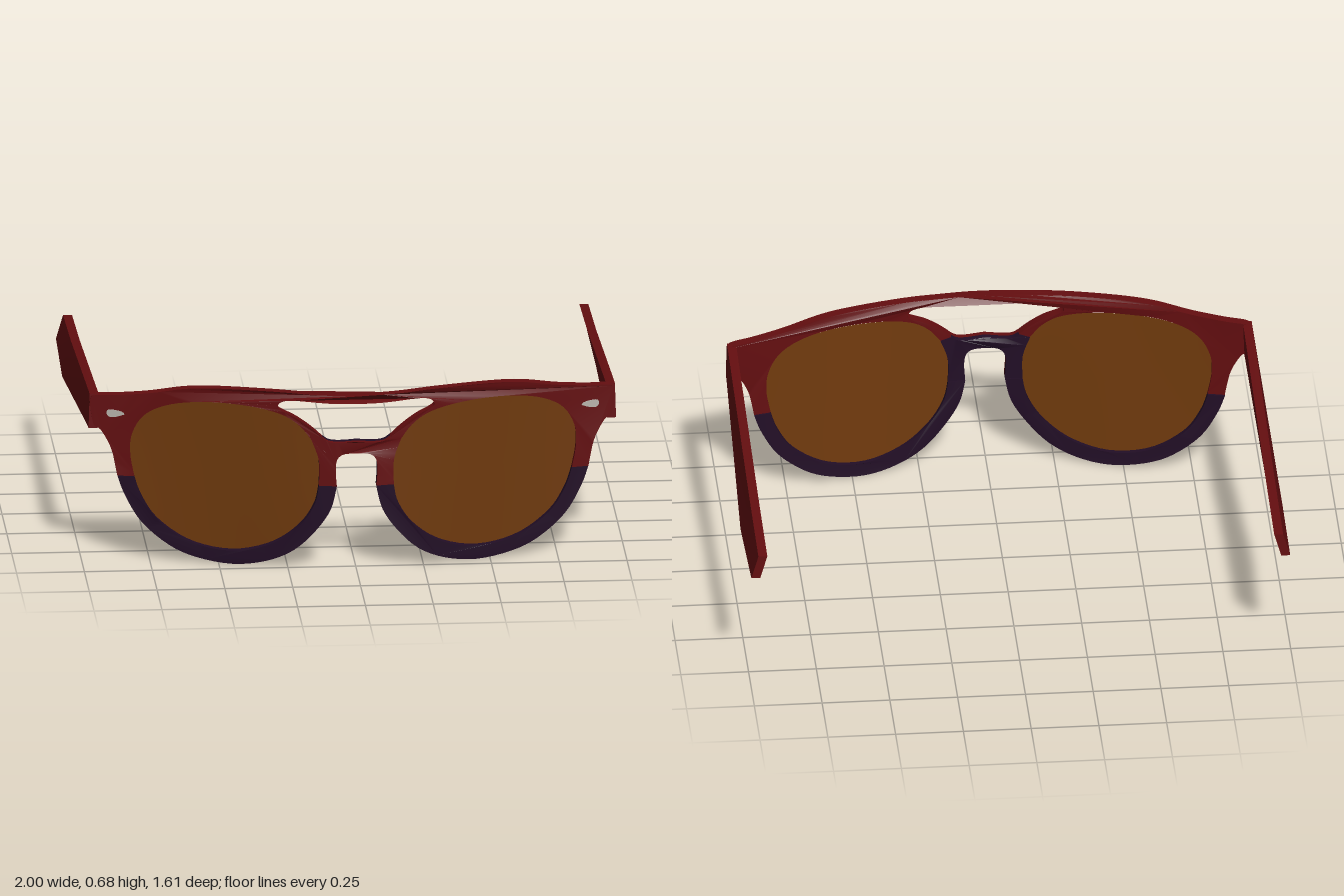
import * as THREE from 'three';
import { toCreasedNormals } from 'three/addons/utils/BufferGeometryUtils.js';

const mat = (name, color, side = THREE.FrontSide) => {
  const m = new THREE.MeshStandardMaterial({ color, side });
  m.name = name;
  return m;
};

// Smooth run of points through a few control points
const run = (n, ...p) => new THREE.SplineCurve(p.map(([x, y]) => new THREE.Vector2(x, y))).getPoints(n);

// Join runs, dropping repeated points
const join = (...runs) => runs.flat().filter((p, i, a) => i === 0 || p.distanceTo(a[i - 1]) > 1e-4);

// Close a half outline (centre line to centre line) with its mirror image
const mirrored = (half) => half.concat(half.slice(1, -1).reverse().map((p) => new THREE.Vector2(-p.x, p.y)));

// Wrap of the front: swept back at the sides, and slightly back at the bottom
const wrap = (x, y) => {
  const ax = Math.abs(x);
  const tilt = 0.05 * (0.66 - y) * Math.sin(Math.PI * Math.min(ax / 0.95, 1));
  return 0.865 - Math.hypot(0.06, 0.29 * ax) - tilt;
};

// Plate between two depths behind the wrapped front surface
function wrappedPlate(points, from, to, hole) {
  const shape = new THREE.Shape(points);
  if (hole) shape.holes.push(new THREE.Path(hole));
  const geo = new THREE.ExtrudeGeometry(shape, { depth: from - to, bevelEnabled: false, steps: 1 });
  const p = geo.attributes.position;
  for (let i = 0; i < p.count; i++) p.setZ(i, wrap(p.getX(i), p.getY(i)) + to + p.getZ(i));
  return toCreasedNormals(geo, 0.6);
}

// Thin curved lens made of rings around its centre
function lensGeometry(contour, side) {
  const rings = 8, n = contour.length, pos = [], idx = [];
  const cx = 0.475, cy = 0.34;
  for (let r = 0; r <= rings; r++) {
    for (const p of contour) {
      const k = r / rings;
      const x = cx + (p.x - cx) * k;
      let y = cy + (p.y - cy) * k;
      if (y > 0.5) y -= (y - 0.5) * 0.05;
      pos.push(side * x, y, wrap(x, y) - 0.028);
    }
  }
  for (let r = 0; r < rings; r++) {
    for (let i = 0; i < n; i++) {
      const a = r * n + i, b = r * n + (i + 1) % n;
      idx.push(a, a + n, b, b, a + n, b + n);
    }
  }
  const geo = new THREE.BufferGeometry();
  geo.setAttribute('position', new THREE.Float32BufferAttribute(pos, 3));
  geo.setIndex(idx);
  geo.computeVertexNormals();
  return geo;
}

// Temple arm: stations of z, top, bottom and outward lean of the lower edge
const stations = [
  [0.572, 0.63, 0.5, 0.004], [0.52, 0.628, 0.497, 0.005],
  [-0.4, 0.543, 0.406, 0.032], [-0.8, 0.52, 0.43, 0.026],
];
function templeGeometry(side) {
  const geo = new THREE.BoxGeometry(1, 1, 1, 1, 1, 3);
  const p = geo.attributes.position;
  for (let i = 0; i < p.count; i++) {
    const [z, top, bottom, lean] = stations[Math.round((0.5 - p.getZ(i)) * 3)];
    const low = p.getY(i) < 0;
    const outer = p.getX(i) * side > 0;
    p.setXYZ(i, side * ((outer ? 0.968 : 0.935) + (low ? lean : 0)), low ? bottom : top, z);
  }
  return toCreasedNormals(geo, 0.4);
}

export function createModel() {
  const red = mat('dark red', 0x640e10);
  const purple = mat('dark purple', 0x220e26);
  const amber = mat('amber lens', 0x703a0c, THREE.DoubleSide);
  const metal = mat('pale metal', 0xbab6ae);

  const group = new THREE.Group();
  group.name = 'sunglasses';
  const add = (name, geo, material) => {
    const mesh = new THREE.Mesh(geo, material);
    mesh.name = name;
    group.add(mesh);
  };

  // Edges of the +x half of the front
  const top = run(40, [0, 0.672], [0.15, 0.675], [0.3, 0.682], [0.5, 0.683], [0.62, 0.675],
    [0.75, 0.65], [0.87, 0.635], [0.94, 0.631], [0.963, 0.622], [0.968, 0.6]);
  const outer = run(20, [0.968, 0.6], [0.955, 0.52], [0.93, 0.5], [0.905, 0.46], [0.885, 0.41], [0.868, 0.325]);
  const lensTop = run(40, [0.806, 0.325], [0.821, 0.41], [0.815, 0.49], [0.77, 0.565], [0.68, 0.61],
    [0.55, 0.628], [0.4, 0.622], [0.28, 0.597], [0.21, 0.555], [0.165, 0.5]);
  const lensInner = run(8, [0.165, 0.5], [0.138, 0.42], [0.138, 0.325]);
  const lensLow = run(36, [0.138, 0.325], [0.155, 0.25], [0.21, 0.165], [0.31, 0.09], [0.45, 0.054],
    [0.6, 0.08], [0.72, 0.16], [0.78, 0.25], [0.806, 0.325]);
  const nose = run(16, [0.073, 0.325], [0.077, 0.39], [0.07, 0.43], [0.045, 0.449], [0, 0.452]);
  const bridgeTop = run(10, [0, 0.497], [0.06, 0.492], [0.1, 0.495], [0.125, 0.51]);
  const rimTop = run(30, [0.125, 0.51], [0.165, 0.545], [0.22, 0.583], [0.28, 0.612], [0.288, 0.628],
    [0.27, 0.645], [0.22, 0.65], [0.1, 0.643], [0, 0.642]);
  const outerLow = run(40, [0.868, 0.325], [0.84, 0.25], [0.78, 0.15], [0.68, 0.065], [0.58, 0.022],
    [0.45, 0.003], [0.33, 0.022], [0.23, 0.07], [0.15, 0.15], [0.095, 0.235], [0.073, 0.325]);

  // Upper frame: front layer, brow behind it, and the bridge lining
  add('upperFrame', wrappedPlate(mirrored(join(top, outer, lensTop, lensInner, nose)), 0, -0.02,
    mirrored(join(bridgeTop, rimTop))), red);
  add('browBack', wrappedPlate(mirrored(join(top, outer, lensTop, rimTop)), -0.02, -0.038), red);
  add('bridgeBack', wrappedPlate(mirrored(join([...bridgeTop], [...lensInner], [...nose])), -0.02, -0.042), purple);

  const lensEdge = join(lensTop, lensInner, lensLow).slice(0, -1);
  for (const [label, s] of [['left', 1], ['right', -1]]) {
    const flip = (pts) => pts.map((p) => new THREE.Vector2(s * p.x, p.y));
    // Lower rim and lens
    add(label + 'LowerRim', wrappedPlate(flip(join(lensLow, outerLow)), 0, -0.046), purple);
    add(label + 'Lens', lensGeometry(lensEdge, s), amber);
    // Temple arm
    add(label + 'Temple', templeGeometry(s), red);
    // Corner rivet plate
    const rivet = run(16, [0.842, 0.563], [0.856, 0.574], [0.9, 0.578], [0.907, 0.562], [0.895, 0.55],
      [0.87, 0.553], [0.842, 0.563]).slice(0, -1);
    add(label + 'Rivet', wrappedPlate(flip(rivet), 0.004, -0.003), metal);
  }
  return group;
}
